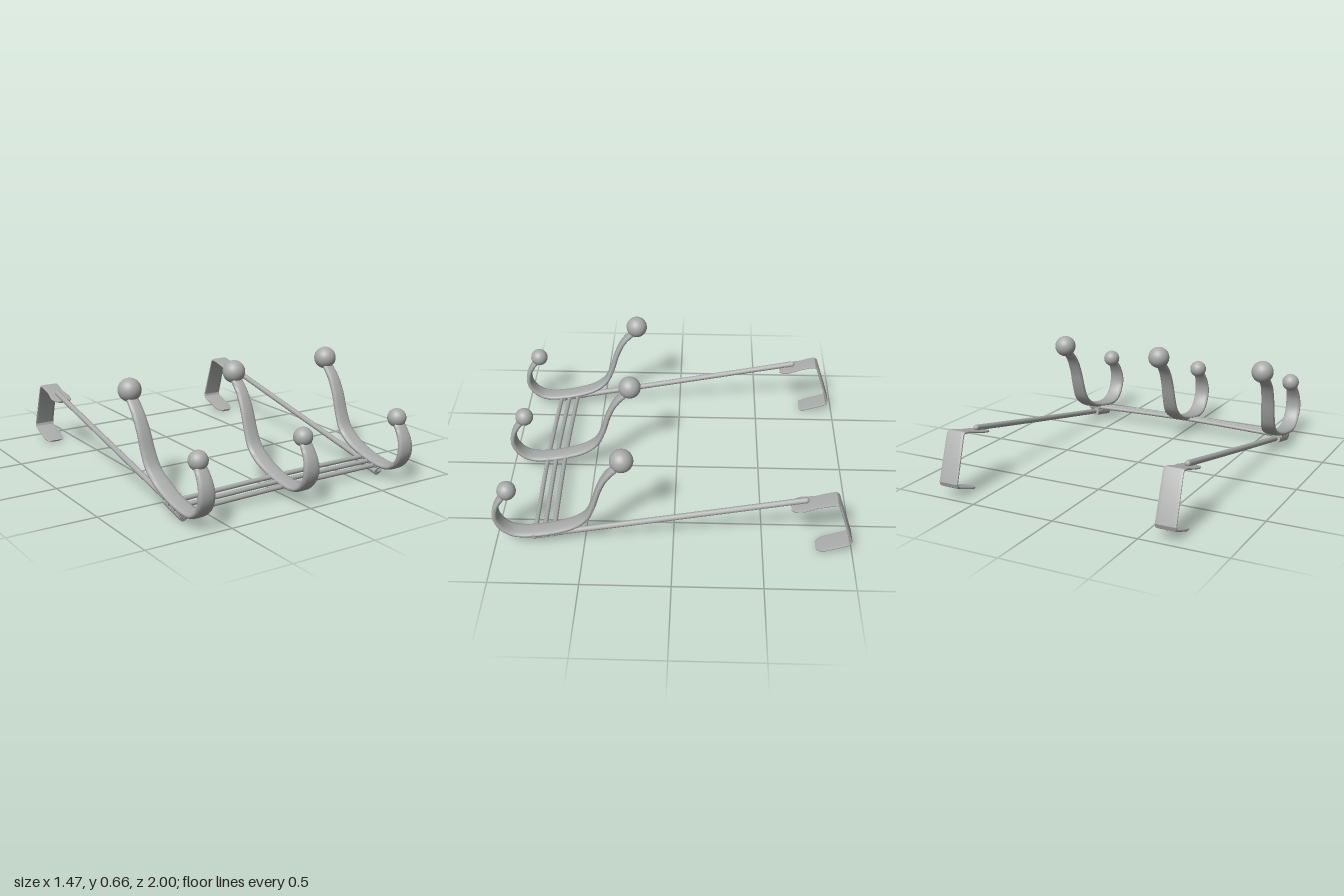
import * as THREE from 'three';
import { toCreasedNormals } from 'three/addons/utils/BufferGeometryUtils.js';

const metal = new THREE.MeshStandardMaterial({ color: 0xa9acaa });
metal.name = 'brushed grey metal';

function part(name, geometry) {
  const mesh = new THREE.Mesh(geometry, metal);
  mesh.name = name;
  return mesh;
}

// Flat bar swept along points that run in the y-z plane; its width lies along x.
// size(t) gives [width, thickness]; power below 1 squares off the section.
function flatBar(points, size, power, crease) {
  const sides = 16, pos = [], index = [], X = new THREE.Vector3(1, 0, 0);
  const direction = (a, b) => b.clone().sub(a).setX(0).normalize();
  const shape = (v) => Math.sign(v) * Math.pow(Math.abs(v), power);
  const last = points.length - 1;
  points.forEach((p, i) => {
    const before = direction(points[Math.max(i - 1, 0)], points[Math.max(i, 1)]);
    const after = direction(points[Math.min(i, last - 1)], points[Math.min(i + 1, last)]);
    const T = before.clone().add(after).normalize();
    const N = T.clone().cross(X);
    const [w, h] = size(i / last, i);
    for (let j = 0; j < sides; j++) {
      const a = (j / sides) * Math.PI * 2;
      const v = p.clone()
        .addScaledVector(X, shape(Math.cos(a)) * w / 2)
        .addScaledVector(N, shape(Math.sin(a)) * h / 2 / T.dot(after));
      pos.push(v.x, v.y, v.z);
    }
  });
  for (let i = 0; i < last; i++) {
    for (let j = 0; j < sides; j++) {
      const k = (j + 1) % sides, a = i * sides, b = a + sides;
      index.push(a + j, a + k, b + j, a + k, b + k, b + j);
    }
  }
  for (let j = 1; j < sides - 1; j++) {
    const e = last * sides;
    index.push(0, j + 1, j, e, e + j, e + j + 1);
  }
  const g = new THREE.BufferGeometry();
  g.setAttribute('position', new THREE.Float32BufferAttribute(pos, 3));
  g.setIndex(index);
  return toCreasedNormals(g, crease);
}

// Round rod through a few points
function rod(points, radius) {
  const curve = new THREE.CatmullRomCurve3(points);
  const group = new THREE.Group();
  group.add(part('rodShaft', new THREE.TubeGeometry(curve, 16, radius, 12)));
  for (const end of [points[0], points[points.length - 1]]) {
    const cap = part('rodEnd', new THREE.SphereGeometry(radius, 12, 8));
    cap.position.copy(end);
    group.add(cap);
  }
  return group;
}

function ball(name, radius, x, y, z) {
  const mesh = part(name, new THREE.SphereGeometry(radius, 24, 16));
  mesh.position.set(x, y, z);
  return mesh;
}

// Hook centre line as [z, y], from the short front tip to the tall rear tip
const hookLine = [
  [0.915, 0.36], [0.955, 0.31], [0.983, 0.25], [0.985, 0.185], [0.955, 0.125],
  [0.905, 0.087], [0.84, 0.076], [0.75, 0.085], [0.65, 0.108], [0.55, 0.148],
  [0.48, 0.205], [0.44, 0.29], [0.405, 0.4], [0.36, 0.49], [0.29, 0.565],
];

function coatHook(x, lean, drop) {
  const group = new THREE.Group();
  const points = hookLine.map(([z, y]) =>
    new THREE.Vector3(x + lean * THREE.MathUtils.smoothstep(-z, -0.55, -0.34), y - drop, z));
  const curve = new THREE.CatmullRomCurve3(points);
  const size = (t) => {
    const ends = Math.min(1, t / 0.18, (1 - t) / 0.35);
    return [0.068 + 0.03 * ends, 0.032];
  };
  group.add(part('hookStrip', flatBar(curve.getPoints(56), size, 0.7, 0.9)));
  group.add(ball('frontKnob', 0.053, x, 0.375 - drop, 0.91));
  group.add(ball('rearKnob', 0.065, x + lean, 0.598 - drop, 0.275));
  return group;
}

// Over-door bracket as [z, y, width], from the tongue under the arm to the lip
const bracketLine = [
  [-0.645, 0.302, 0.07], [-0.665, 0.307, 0.11], [-0.7, 0.315, 0.128], [-0.735, 0.323, 0.115],
  [-0.78, 0.335, 0.1], [-0.85, 0.355, 0.108], [-0.89, 0.362, 0.112], [-0.905, 0.348, 0.114],
  [-0.988, 0.095, 0.122], [-0.982, 0.076, 0.122], [-0.965, 0.067, 0.122],
  [-0.85, 0.026, 0.12], [-0.82, 0.017, 0.105], [-0.8, 0.01, 0.06],
];

function doorBracket(x, shift) {
  const points = bracketLine.map(([z, y]) =>
    new THREE.Vector3(x, y - shift * 0.2 * (z < -0.8 ? 1 : 0), z + (z < -0.8 && z > -0.99 ? shift : 0)));
  return part('doorBracket', flatBar(points, (t, i) => [bracketLine[i][2], 0.013], 0.4, 0.6));
}

export function createModel() {
  const model = new THREE.Group();
  model.name = 'overDoorHookRack';
  const V = (x, y, z) => new THREE.Vector3(x, y, z);

  // Three double hooks
  [['rightHook', -0.643, -0.032, 0.012], ['middleHook', 0.008, -0.01, 0], ['leftHook', 0.668, -0.006, 0]]
    .forEach(([name, x, lean, drop]) => {
      const hook = coatHook(x, lean, drop);
      hook.name = name;
      model.add(hook);
    });

  // Three cross rods with a collar at each end
  [[0.677, 0.086], [0.732, 0.075], [0.785, 0.064]].forEach(([z, y]) => {
    const bar = rod([V(-0.67, y - 0.012, z - 0.004), V(0, y + 0.004, z + 0.003), V(0.7, y, z - 0.008)], 0.013);
    bar.name = 'crossRod';
    model.add(bar);
    for (const [x, dy] of [[-0.65, -0.012], [0.665, 0]]) {
      const collar = part('rodCollar', new THREE.CylinderGeometry(0.02, 0.02, 0.07, 14));
      collar.rotation.z = Math.PI / 2;
      collar.position.set(x, y + dy, z - 0.005);
      model.add(collar);
    }
  });

  // Long arms and the brackets that hang over the door
  [['right', -0.648, -0.64, 0.022], ['left', 0.657, 0.667, 0]].forEach(([side, armX, bracketX, shift]) => {
    const arm = rod([V(armX, 0.032, 0.79), V(armX, 0.185, 0.03), V(armX, 0.34, -0.725)], 0.017);
    arm.name = side + 'Arm';
    model.add(arm);
    const foot = part('armFoot', new THREE.CylinderGeometry(0.024, 0.024, 0.17, 14));
    foot.rotation.x = Math.PI / 2 + 0.2;
    foot.position.set(armX - 0.01, 0.046, 0.715);
    model.add(foot);
    const bracket = doorBracket(bracketX, shift);
    bracket.name = side + 'Bracket';
    model.add(bracket);
  });

  return model;
}
